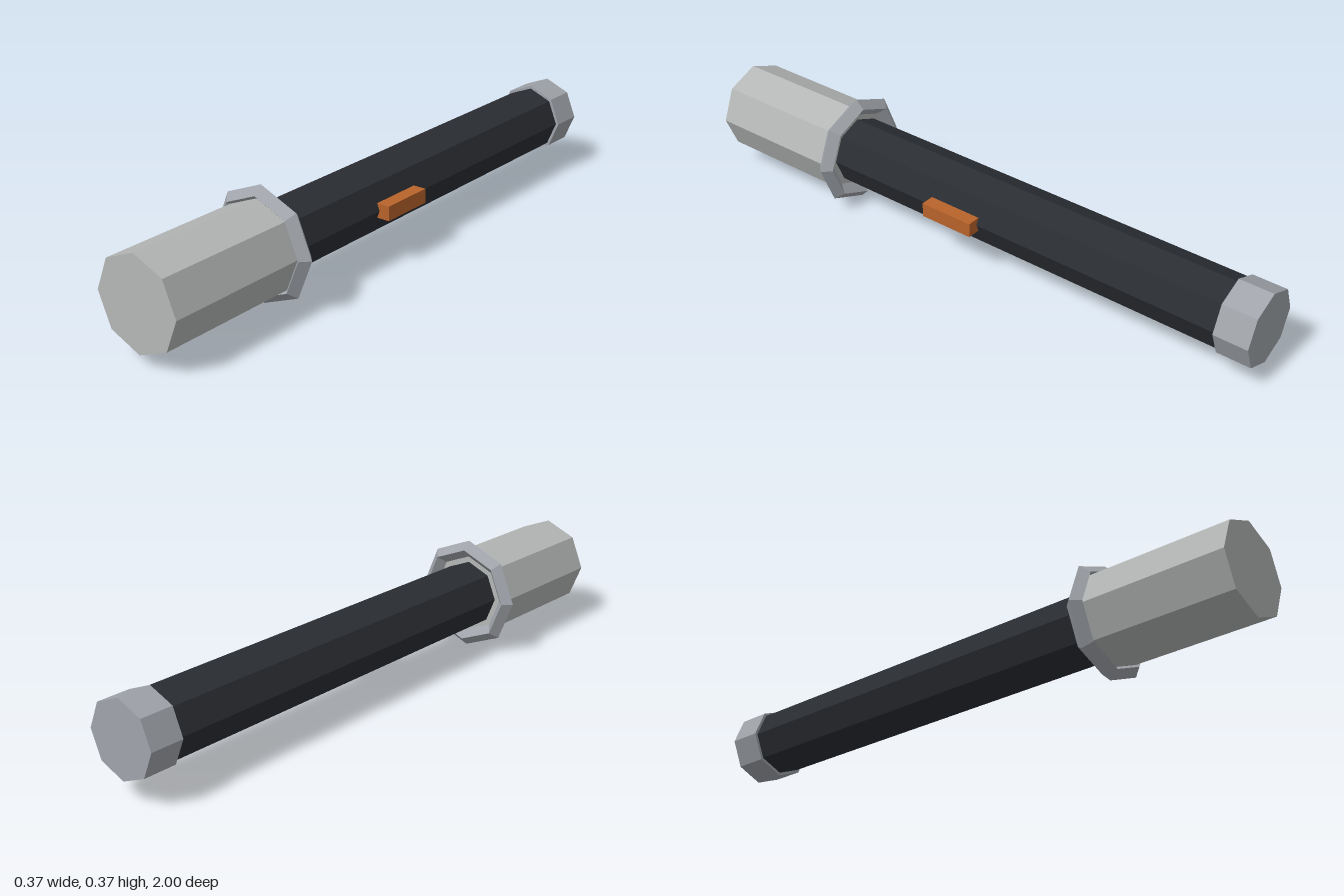
import * as THREE from 'three';

const AXIS_Y = 0.185;
const SIDES = 8;

export function createModel() {
  const group = new THREE.Group();
  const material = (color) => new THREE.MeshStandardMaterial({ color, flatShading: true });
  const headMetal = material(0xb4b7b6);
  const trimMetal = material(0xa0a4aa);
  const darkGrip = material(0x2a2d32);
  const orange = material(0xb8632b);

  function add(name, geometry, mat, x, z) {
    const mesh = new THREE.Mesh(geometry, mat);
    mesh.name = name;
    mesh.position.set(x, AXIS_Y, z);
    group.add(mesh);
  }

  // Octagonal prism lying along z, with a corner pointing up
  function prism(name, radius, z0, z1, mat) {
    const geometry = new THREE.CylinderGeometry(radius, radius, z1 - z0, SIDES).rotateX(Math.PI / 2);
    add(name, geometry, mat, 0, (z0 + z1) / 2);
  }

  prism('head', 0.148, 0.52, 1, headMetal);
  prism('barrel', 0.11, -0.9, 0.53, darkGrip);
  prism('tailCap', 0.12, -1, -0.89, trimMetal);

  // Diamond-section collar around the back of the head
  add('collar', new THREE.TorusGeometry(0.157, 0.0275, 4, SIDES), trimMetal, 0, 0.518);

  // Slide switch on the left side of the barrel
  add('switch', new THREE.BoxGeometry(0.05, 0.047, 0.184), orange, 0.12, 0.029);

  return group;
}
